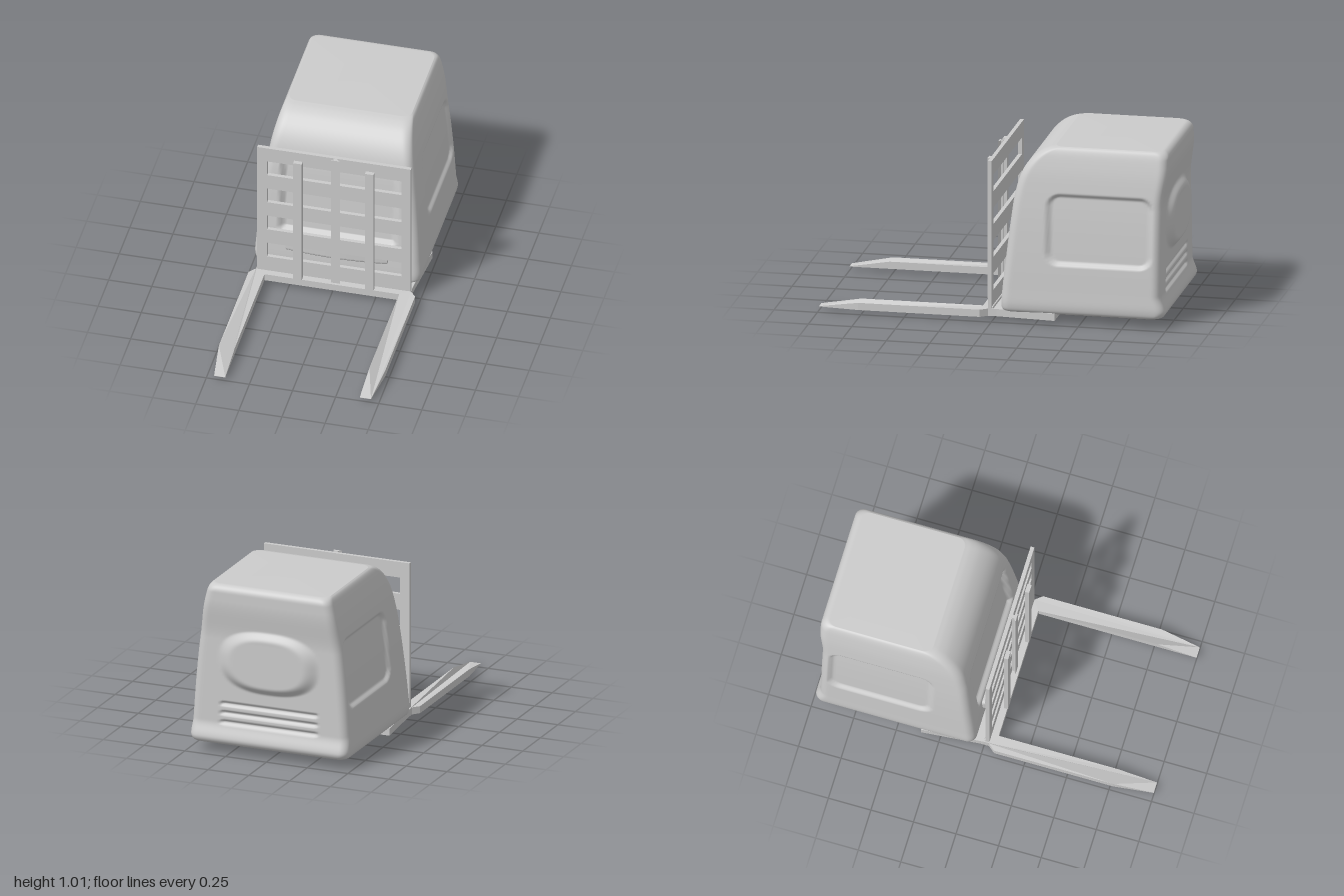
import * as THREE from 'three';
import { RoundedBoxGeometry } from 'three/addons/geometries/RoundedBoxGeometry.js';

const material = new THREE.MeshStandardMaterial({ color: 0xcccccc, side: THREE.DoubleSide });
const smooth = (a, b, v) => THREE.MathUtils.smoothstep(v, a, b);

function add(group, name, geometry, x = 0, y = 0, z = 0) {
  const mesh = new THREE.Mesh(geometry, material);
  mesh.name = name;
  mesh.position.set(x, y, z);
  group.add(mesh);
  return mesh;
}

function rectPath(path, x0, y0, x1, y1) {
  path.moveTo(x0, y0).lineTo(x1, y0).lineTo(x1, y1).lineTo(x0, y1).closePath();
  return path;
}

function roundedRect(x0, y0, x1, y1, r) {
  const s = new THREE.Shape();
  s.absarc(x1 - r, y0 + r, r, -Math.PI / 2, 0);
  s.absarc(x1 - r, y1 - r, r, 0, Math.PI / 2);
  s.absarc(x0 + r, y1 - r, r, Math.PI / 2, Math.PI);
  s.absarc(x0 + r, y0 + r, r, Math.PI, Math.PI * 1.5);
  return s;
}

// Plan shape (x, -z) raised along y
function slab(shape, height, bevel = 0) {
  return new THREE.ExtrudeGeometry(shape, {
    depth: height - 2 * bevel, bevelEnabled: bevel > 0, bevelSize: bevel, bevelOffset: -bevel,
    bevelThickness: bevel, bevelSegments: 4, curveSegments: 10,
  }).rotateX(-Math.PI / 2).translate(0, bevel, 0);
}

// Soft-edged rounded rectangle mask: 1 inside, 0 outside
function panelMask(u, v, u0, u1, v0, v1, r, soft) {
  const qx = Math.abs(u - (u0 + u1) / 2) - (u1 - u0) / 2 + r;
  const qy = Math.abs(v - (v0 + v1) / 2) - (v1 - v0) / 2 + r;
  const d = Math.hypot(Math.max(qx, 0), Math.max(qy, 0)) + Math.min(Math.max(qx, qy), 0) - r;
  return 1 - smooth(-soft, 0, d);
}

// Rear wall profile: shallow hollow with flared, rounded top and bottom edges
function rearZ(y) {
  const flare = 0.026 * (smooth(0.68, 0.92, y) + 1 - smooth(0.09, 0.19, y));
  const d = Math.min(1, Math.max(0, 1 - Math.min(y - 0.055, 1.01 - y) / 0.045));
  return -0.963 - flare + 0.045 * (1 - Math.sqrt(1 - d * d));
}

// Pressed details on the four walls
function press(p, face) {
  const { x, y, z } = p;
  if (face === 0 || face === 2) {
    p.x -= Math.sign(x) * 0.02 * panelMask(z, y, -0.92, -0.3, 0.335, 0.755, 0.08, 0.03);
  } else if (face === 1) {
    p.z -= 0.03 * panelMask(x, y, -0.34, 0.34, 0.29, 0.75, 0.03, 0.022);
  } else {
    const e = Math.abs(x / 0.31) ** 2.5 + Math.abs((y - 0.57) / 0.19) ** 2.5;
    p.z -= 0.036 * smooth(0, 0.6, 1 - e);
    for (const gy of [0.19, 0.245, 0.3]) {
      p.z += 0.014 * panelMask(x, y, -0.3, 0.3, gy - 0.018, gy + 0.018, 0.017, 0.016);
    }
  }
}

// Body lofted from rounded rectangles
function bodyGeometry() {
  // half width, height, front z
  const profile = new THREE.CatmullRomCurve3([
    [0.455, 0.055, -0.07], [0.475, 0.068, -0.05], [0.483, 0.1, -0.046], [0.478, 0.2, -0.052],
    [0.464, 0.4, -0.073], [0.445, 0.6, -0.095], [0.427, 0.74, -0.115], [0.41, 0.85, -0.147],
    [0.395, 0.92, -0.19], [0.38, 0.975, -0.25], [0.368, 1.0, -0.3], [0.355, 1.01, -0.34],
  ].map((p) => new THREE.Vector3(...p)));
  const rows = 170, side = 56, arc = 7, r = 0.05, cols = 4 * (side + arc);
  const pos = [], index = [];
  for (let i = 0; i <= rows; i++) {
    const { x: hw, y, z: zf } = profile.getPointAt(i / rows);
    const zb = rearZ(y), ix = hw - r, z0 = zb + r, z1 = zf - r;
    // walls in order: +x, front, -x, back
    const corners = [[ix, z0], [ix, z1], [-ix, z1], [-ix, z0]];
    for (let f = 0; f < 4; f++) {
      const a = corners[f], b = corners[(f + 1) % 4], base = f * Math.PI / 2;
      for (let k = 0; k < side; k++) {
        const t = k / side;
        const p = new THREE.Vector3(
          a[0] + (b[0] - a[0]) * t + r * Math.cos(base), y,
          a[1] + (b[1] - a[1]) * t + r * Math.sin(base));
        press(p, f);
        pos.push(p.x, p.y, p.z);
      }
      for (let k = 0; k < arc; k++) {
        const ang = base + (k / arc) * Math.PI / 2;
        pos.push(b[0] + r * Math.cos(ang), y, b[1] + r * Math.sin(ang));
      }
    }
  }
  const last = rows * cols, bottom = (rows + 1) * cols, top = bottom + 1;
  pos.push(0, 0.055, -0.5, 0, 1.01, -0.65);
  for (let j = 0; j < cols; j++) {
    const n = (j + 1) % cols;
    for (let i = 0; i < rows; i++) {
      const a = i * cols + j, b = i * cols + n;
      index.push(a, a + cols, b, b, a + cols, b + cols);
    }
    index.push(j, n, bottom, last + j, top, last + n);
  }
  const g = new THREE.BufferGeometry();
  g.setAttribute('position', new THREE.Float32BufferAttribute(pos, 3));
  g.setIndex(index);
  g.computeVertexNormals();
  return g;
}

// Base plate and both forks in one outline, with wedge tips
function forkGeometry() {
  const half = [[0.48, -0.36], [0.45, -0.02], [0.45, 0.03], [0.483, 0.07], [0.483, 0.77],
    [0.455, 1.0], [0.39, 1.0], [0.39, 0.77], [0.39, 0.07]];
  const outline = [...half, ...half.map(([x, z]) => [-x, z]).reverse()];
  const g = slab(new THREE.Shape(outline.map(([x, z]) => new THREE.Vector2(x, -z))), 0.042);
  const p = g.attributes.position;
  for (let i = 0; i < p.count; i++) if (p.getZ(i) > 0.9) p.setY(i, p.getY(i) * 0.05);
  g.computeVertexNormals();
  return g;
}

// Load guard with four rows of openings
function guardGeometry() {
  const s = rectPath(new THREE.Shape(), -0.443, 0.065, 0.448, 0.927);
  for (let i = 0; i < 4; i++) {
    const y = 0.162 + i * 0.192;
    s.holes.push(rectPath(new THREE.Path(), -0.385, y, 0.394, y + 0.097));
  }
  return new THREE.ExtrudeGeometry(s, { depth: 0.022, bevelEnabled: false });
}

export function createModel() {
  const model = new THREE.Group();
  model.name = 'palletCarrier';
  add(model, 'body', bodyGeometry());

  // Curved front bumper
  const bumper = new THREE.Shape();
  bumper.moveTo(-0.27, 0.1).lineTo(0.27, 0.1).quadraticCurveTo(0.305, 0.07, 0.295, 0.035)
    .quadraticCurveTo(0, -0.005, -0.295, 0.035).quadraticCurveTo(-0.305, 0.07, -0.27, 0.1);
  add(model, 'bumper', slab(bumper, 0.09, 0.02), 0, 0.172, 0);

  add(model, 'basePlateAndForks', forkGeometry(), 0, 0.022, 0);
  add(model, 'foot', slab(roundedRect(-0.25, 0.055, 0.25, 0.3, 0.09), 0.028, 0.009));
  for (const s of [-1, 1]) {
    add(model, 'rearPad', slab(roundedRect(s * 0.3 - 0.1, 0.44, s * 0.3 + 0.1, 0.83, 0.04), 0.01), 0, 0.051, 0);
  }

  // Guard with two plain rails and a dovetail centre rail
  add(model, 'guard', guardGeometry(), 0, 0, 0.008);
  for (const x of [-0.198, 0.218]) {
    add(model, 'sideRail', new THREE.BoxGeometry(0.05, 0.82, 0.025), x, 0.475, 0.0625);
  }
  const dovetail = new THREE.Shape([[-0.01, -0.028], [-0.01, -0.042], [-0.026, -0.055],
    [0.026, -0.055], [0.01, -0.042], [0.01, -0.028]].map((p) => new THREE.Vector2(...p)));
  add(model, 'centreRail', slab(dovetail, 0.866), 0.017, 0.064, 0);
  // Foot of the guard behind the plate edge
  add(model, 'guardFoot', new RoundedBoxGeometry(0.88, 0.02, 0.03, 2, 0.005), 0, 0.066, 0.015);
  return model;
}
